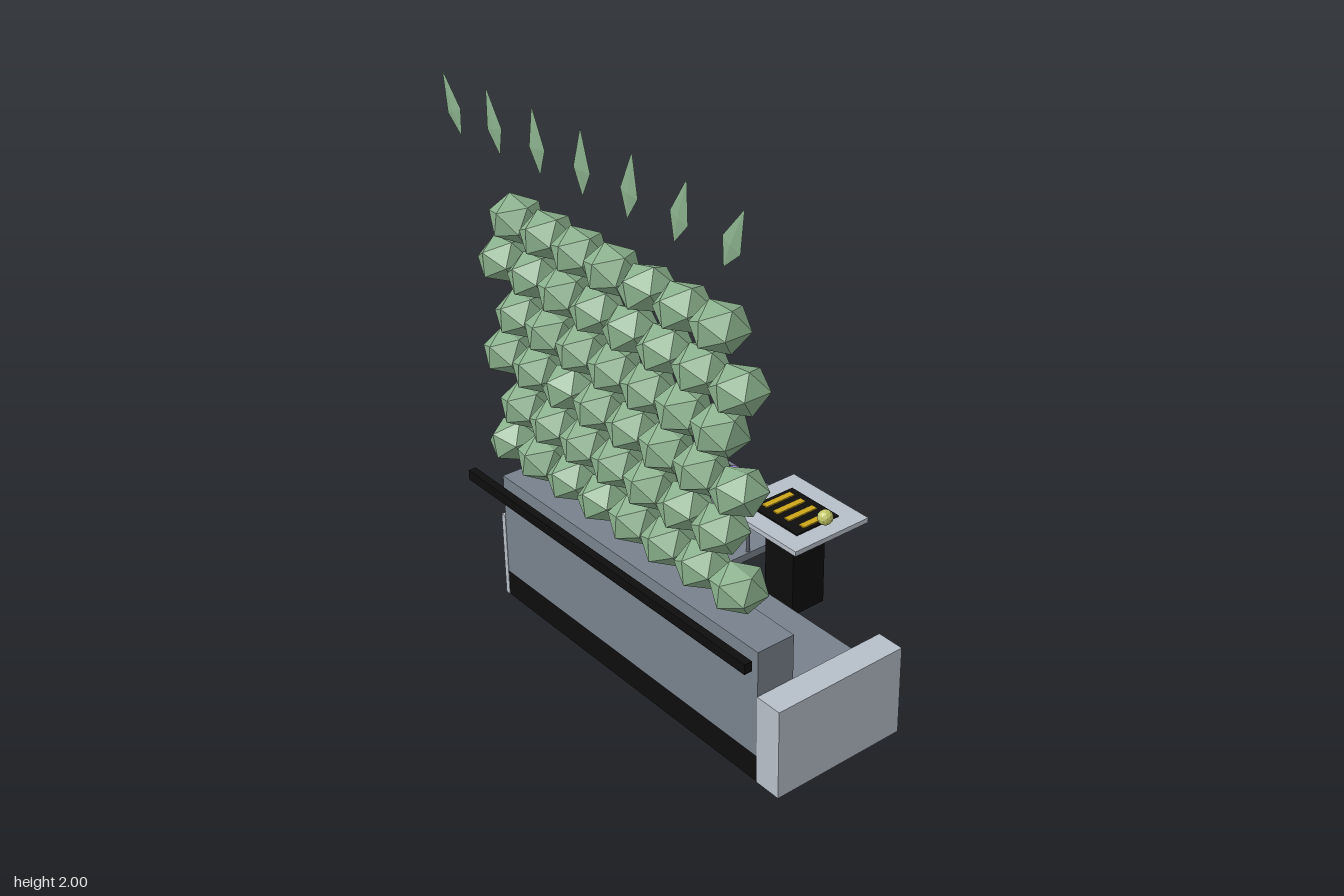
import * as THREE from 'three';

const mat = (name, color, extra = {}) => {
  const m = new THREE.MeshStandardMaterial({ color, ...extra });
  m.name = name;
  return m;
};

export function createModel() {
  const root = new THREE.Group();
  root.name = 'loungeCorner';
  const grey = mat('slate grey', 0x78828c);
  const light = mat('pale grey', 0xb6bec8);
  const black = mat('black', 0x0d0d0d);
  const steel = mat('steel grey', 0x5e666f);
  const green = mat('leaf green', 0x8ab08c, { flatShading: true });
  const purple = mat('purple', 0xa076d2, { flatShading: true });
  const gold = mat('gold', 0xcca61a);
  const lime = mat('pale lime', 0xc2c668, { flatShading: true });

  const group = (name) => {
    const g = new THREE.Group();
    g.name = name;
    root.add(g);
    return g;
  };
  const add = (parent, name, geo, material, x = 0, y = 0, z = 0) => {
    const m = new THREE.Mesh(geo, material);
    m.name = name;
    m.position.set(x, y, z);
    parent.add(m);
    return m;
  };
  // Box given by its limits on each axis
  const box = (parent, name, material, x0, x1, y0, y1, z0, z1) =>
    add(parent, name, new THREE.BoxGeometry(x1 - x0, y1 - y0, z1 - z0), material,
      (x0 + x1) / 2, (y0 + y1) / 2, (z0 + z1) / 2);

  // Sofa: plinth, seat, backrest, arms and dark back stripes
  const sofa = group('sofa');
  box(sofa, 'plinth', black, -0.44, 0.072, 0, 0.1, -0.703, 0.658);
  box(sofa, 'seat', grey, -0.285, 0.064, 0.1, 0.215, -0.703, 0.655);
  box(sofa, 'backrest', grey, -0.44, -0.295, 0.1, 0.495, -0.703, 0.658);
  box(sofa, 'leftArm', light, -0.442, 0.075, 0, 0.33, 0.658, 0.76);
  box(sofa, 'rightArm', light, -0.442, 0.075, 0, 0.33, -0.724, -0.703);
  for (let i = 0; i < 5; i++) {
    const z = 0.522 - i * 0.2955;
    box(sofa, 'backStripe', black, -0.296, -0.289, 0.245, 0.445, z - 0.027, z + 0.027);
  }

  // Rail behind the sofa
  box(root, 'wallRail', black, -0.544, -0.515, 0.495, 0.532, -0.757, 0.717);

  // Plant wall: staggered rows of faceted leaf clumps
  const plants = group('plantWall');
  const clump = new THREE.IcosahedronGeometry(0.096, 0).rotateY(Math.PI / 2);
  clump.scale(1, 0.84, 1);
  let seed = 7;
  const rand = () => (seed = (seed * 16807) % 2147483647) / 2147483647;
  for (let row = 0; row < 6; row++) {
    const count = row % 2 ? 7 : 8;
    for (let i = 0; i < count; i++) {
      const z = -0.013 + (i - (count - 1) / 2) * 0.168;
      const m = add(plants, 'leafClump', clump, green, -0.446, 0.69 + row * 0.168, z);
      m.rotation.x = (rand() - 0.5) * 0.5;
    }
  }

  // Fan of thin pointed leaves along the top
  const leaf = new THREE.OctahedronGeometry(1, 0);
  const p = leaf.attributes.position;
  for (let i = 0; i < p.count; i++) {
    const y = p.getY(i);
    p.setXYZ(i, p.getX(i) * 0.006, y > 0 ? y * 0.215 : (y + 1) * 0.083, p.getZ(i) * 0.041);
    if (Math.abs(y) < 0.01) p.setY(i, 0.083);
  }
  leaf.computeVertexNormals();
  for (let i = -3; i <= 3; i++) {
    const m = add(plants, 'topLeaf', leaf, green, -0.537, 1.785, -0.025 + i * 0.213);
    m.rotation.x = i * 0.14;
  }

  // Side table with a dark board, gold bars and a small ball
  const table = group('sideTable');
  box(table, 'pedestal', black, 0.245, 0.393, 0, 0.347, -0.093, 0.055);
  box(table, 'tableTop', light, 0.15, 0.49, 0.347, 0.366, -0.22, 0.17);
  box(table, 'board', black, 0.22, 0.415, 0.366, 0.372, -0.145, 0.098);
  for (const [z, half] of [[-0.112, 0.065], [-0.054, 0.065], [0.006, 0.065], [0.072, 0.055]])
    box(table, 'goldBar', gold, 0.32 - half, 0.32 + half, 0.372, 0.377, z - 0.013, z + 0.013);
  add(table, 'smallBall', new THREE.IcosahedronGeometry(0.029, 1), lime, 0.318, 0.42, 0.134);

  // Ball rack: base, end posts, two rails and three balls
  const rack = group('ballRack');
  box(rack, 'rackBase', grey, 0.196, 0.54, 0, 0.03, -0.712, -0.32);
  const rail = new THREE.CylinderGeometry(0.007, 0.007, 0.375, 8).rotateX(Math.PI / 2);
  for (const x of [0.245, 0.49]) add(rack, 'rail', rail, steel, x, 0.25, -0.515);
  const post = new THREE.CylinderGeometry(0.008, 0.008, 0.265, 8);
  for (const z of [-0.7, -0.331]) add(rack, 'post', post, steel, 0.368, 0.1625, z);
  const ball = new THREE.IcosahedronGeometry(0.046, 2);
  for (const z of [-0.614, -0.515, -0.415]) add(rack, 'purpleBall', ball, purple, 0.368, 0.308, z);

  return root;
}
